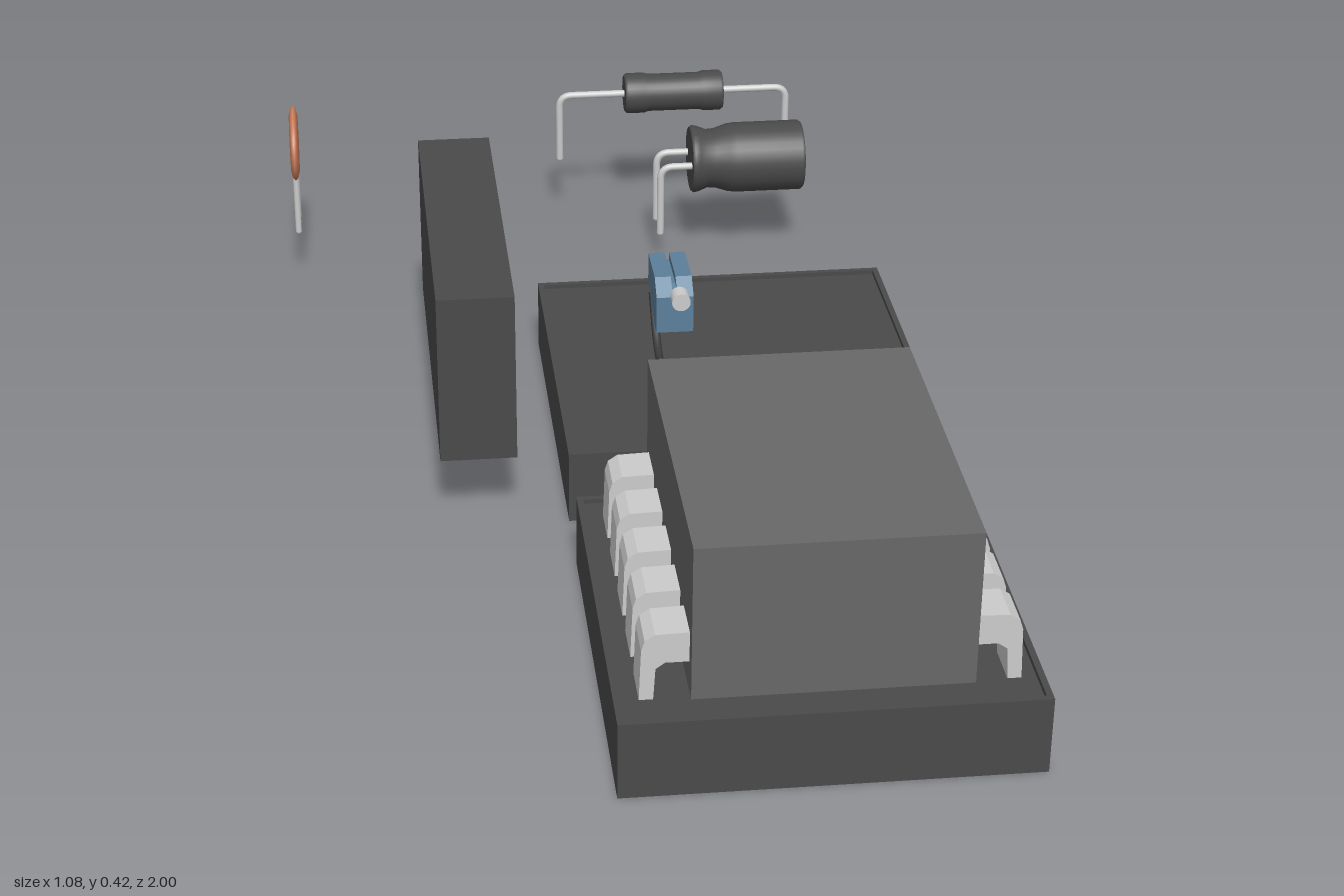
import * as THREE from 'three';

const mat = (color) => new THREE.MeshStandardMaterial({ color });
const dark = mat(0x4a4a4a), chipGrey = mat(0x686868), metal = mat(0xcccccc);
const copper = mat(0xd2835f), blue = mat(0x5c7f9a), black = mat(0x3c3c3c);

function add(parent, name, geometry, material, x = 0, y = 0, z = 0) {
  const mesh = new THREE.Mesh(geometry, material);
  mesh.name = name;
  mesh.position.set(x, y, z);
  parent.add(mesh);
  return mesh;
}

const polygon = (points) => new THREE.Shape(points.map(([x, y]) => new THREE.Vector2(x, y)));

// Extrudes a 2D outline, centred on its depth
function slab(shape, depth) {
  const g = new THREE.ExtrudeGeometry(shape, { depth, bevelEnabled: false });
  return g.translate(0, 0, -depth / 2);
}

// Slab standing on y = 0 with a shallow raised rim round its top
function rimmedSlab(name, w, h, d) {
  const group = new THREE.Group();
  group.name = name;
  const lip = 0.008, t = 0.01;
  add(group, 'slabBody', new THREE.BoxGeometry(w, h - lip, d), dark, 0, (h - lip) / 2, 0);
  const rect = (a, b) => [[-a, -b], [a, -b], [a, b], [-a, b]];
  const shape = polygon(rect(w / 2, d / 2));
  shape.holes.push(new THREE.Path(rect(w / 2 - t, d / 2 - t).map(([x, y]) => new THREE.Vector2(x, y))));
  const rim = add(group, 'slabRim', slab(shape, lip), dark, 0, h - lip / 2, 0);
  rim.rotation.x = -Math.PI / 2;
  return group;
}

// Round wire with softly rounded bends
function wire(parent, name, points, radius, material = metal) {
  const v = points.map((p) => new THREE.Vector3(...p));
  const path = new THREE.CurvePath();
  let from = v[0];
  for (let i = 1; i < v.length - 1; i++) {
    const before = v[i].clone().add(v[i - 1].clone().sub(v[i]).setLength(0.025));
    const after = v[i].clone().add(v[i + 1].clone().sub(v[i]).setLength(0.025));
    path.add(new THREE.LineCurve3(from, before));
    path.add(new THREE.QuadraticBezierCurve3(before, v[i], after));
    from = after;
  }
  path.add(new THREE.LineCurve3(from, v[v.length - 1]));
  add(parent, name, new THREE.TubeGeometry(path, 40, radius, 10), material);
  const tip = points[points.length - 1];
  add(parent, name + 'Tip', new THREE.SphereGeometry(radius, 10, 6), material, ...tip);
}

// Lathe lying along x, from [x, radius] pairs; end corners are doubled to stay sharp
function barrel(parent, name, profile) {
  const first = profile[0], last = profile[profile.length - 1];
  const pts = [[first[0], 0], first, first, ...profile.slice(1), last, [last[0], 0]];
  const g = new THREE.LatheGeometry(pts.map(([x, r]) => new THREE.Vector2(r, x)), 32);
  return add(parent, name, g.rotateZ(-Math.PI / 2), dark);
}

function buildChip() {
  const chip = new THREE.Group();
  chip.name = 'chip';
  add(chip, 'chipBody', new THREE.BoxGeometry(0.415, 0.253, 0.56), chipGrey, 0, 0.2665, 0);
  // Pin outline: x outward from the body side, y up
  const outline = polygon([
    [-0.01, 0.19], [0.035, 0.19], [0.049, 0.18], [0.052, 0.128], [0.073, 0.128],
    [0.07, 0.212], [0.065, 0.228], [0.05, 0.238], [-0.01, 0.24],
  ]);
  for (const side of [0, 1]) {
    for (let i = 0; i < 5; i++) {
      const pin = add(chip, 'pin', slab(outline, 0.07), metal, side ? -0.2075 : 0.2075, 0, (i - 2) * 0.111);
      pin.rotation.y = side * Math.PI;
    }
  }
  chip.position.set(0.2225, 0, 0.684);
  return chip;
}

function buildSwitch() {
  const sw = new THREE.Group();
  sw.name = 'triggerSwitch';
  // Outline with first axis = -z, second = y
  const housing = [
    [0.025, 0.213], [0.06, 0.213], [0.1, 0.24], [0.12, 0.25], [0.15, 0.252], [0.15, 0.305], [0.055, 0.305], [0.025, 0.28],
  ];
  const core = housing.map(([a, b]) => [a, Math.min(b, 0.292)]);
  const part = (name, pts, width, x) => {
    add(sw, name, slab(polygon(pts), width), blue, x).rotation.y = Math.PI / 2;
  };
  part('leftHalf', housing, 0.028, 0.13);
  part('rightHalf', housing, 0.028, 0.094);
  part('core', core, 0.01, 0.112);
  // Plunger on the front
  add(sw, 'plunger', new THREE.CylinderGeometry(0.016, 0.016, 0.03, 20).rotateX(Math.PI / 2), metal, 0.12, 0.28, -0.018);
  // Curved lever underneath
  const lever = new THREE.CatmullRomCurve3([
    [0.018, 0.182], [-0.005, 0.168], [-0.04, 0.172], [-0.08, 0.195], [-0.1, 0.215], [-0.125, 0.24],
  ].map(([z, y]) => new THREE.Vector3(0.085, y, z)));
  add(sw, 'lever', new THREE.TubeGeometry(lever, 30, 0.007, 8), black);
  return sw;
}

function buildCanCapacitor() {
  const cap = new THREE.Group();
  cap.name = 'canCapacitor';
  barrel(cap, 'can', [
    [0.233, 0.062], [0.238, 0.066], [0.248, 0.064], [0.265, 0.057], [0.28, 0.058], [0.305, 0.066], [0.32, 0.068],
    [0.447, 0.068], [0.452, 0.064],
  ]);
  for (const z of [-0.034, 0.034]) {
    wire(cap, 'canLead', [[0.24, 0, z], [0.172, 0, z], [0.172, -0.14, z]], 0.007);
  }
  cap.position.set(0, 0.2, -0.77);
  return cap;
}

function buildAxialResistor() {
  const res = new THREE.Group();
  res.name = 'axialResistor';
  barrel(res, 'resistorBody', [
    [-0.098, 0.036], [-0.093, 0.04], [-0.06, 0.04], [-0.05, 0.037], [0.05, 0.037], [0.06, 0.04], [0.093, 0.04], [0.098, 0.036],
  ]);
  for (const s of [-1, 1]) {
    wire(res, 'resistorLead', [[s * 0.09, 0, 0], [s * 0.228, 0, 0], [s * 0.228, -0.135, 0]], 0.007);
  }
  res.position.set(0.222, 0.264, -0.958);
  return res;
}

function buildDiscCapacitor() {
  const cap = new THREE.Group();
  cap.name = 'discCapacitor';
  // Flat lens with a rounded edge, turned to face x
  const profile = [[0, -0.009], [0.065, -0.008], [0.08, -0.005], [0.086, 0], [0.08, 0.005], [0.065, 0.008], [0, 0.009]];
  const g = new THREE.LatheGeometry(profile.map(([r, y]) => new THREE.Vector2(r, y)), 40).rotateZ(Math.PI / 2);
  add(cap, 'disc', g.scale(1, 0.8, 1), copper, 0, 0.272, 0);
  for (const z of [-0.034, 0.034]) wire(cap, 'discLead', [[0, 0.25, z], [0, 0.102, z]], 0.006);
  cap.position.set(-0.533, 0, -0.761);
  return cap;
}

export function createModel() {
  const model = new THREE.Group();
  model.name = 'componentSet';

  // Two flat trays and an upright one
  const frontBase = rimmedSlab('frontBase', 0.634, 0.128, 0.634);
  frontBase.position.set(0.222, 0, 0.683);
  const rearBase = rimmedSlab('rearBase', 0.634, 0.128, 0.634);
  rearBase.position.set(0.222, 0, -0.087);
  const uprightPanel = rimmedSlab('uprightPanel', 0.297, 0.127, 0.634);
  uprightPanel.rotation.z = -Math.PI / 2;
  uprightPanel.position.set(-0.307, 0.2765, -0.087);

  model.add(frontBase, rearBase, uprightPanel, buildChip(), buildSwitch(),
    buildCanCapacitor(), buildAxialResistor(), buildDiscCapacitor());
  return model;
}
